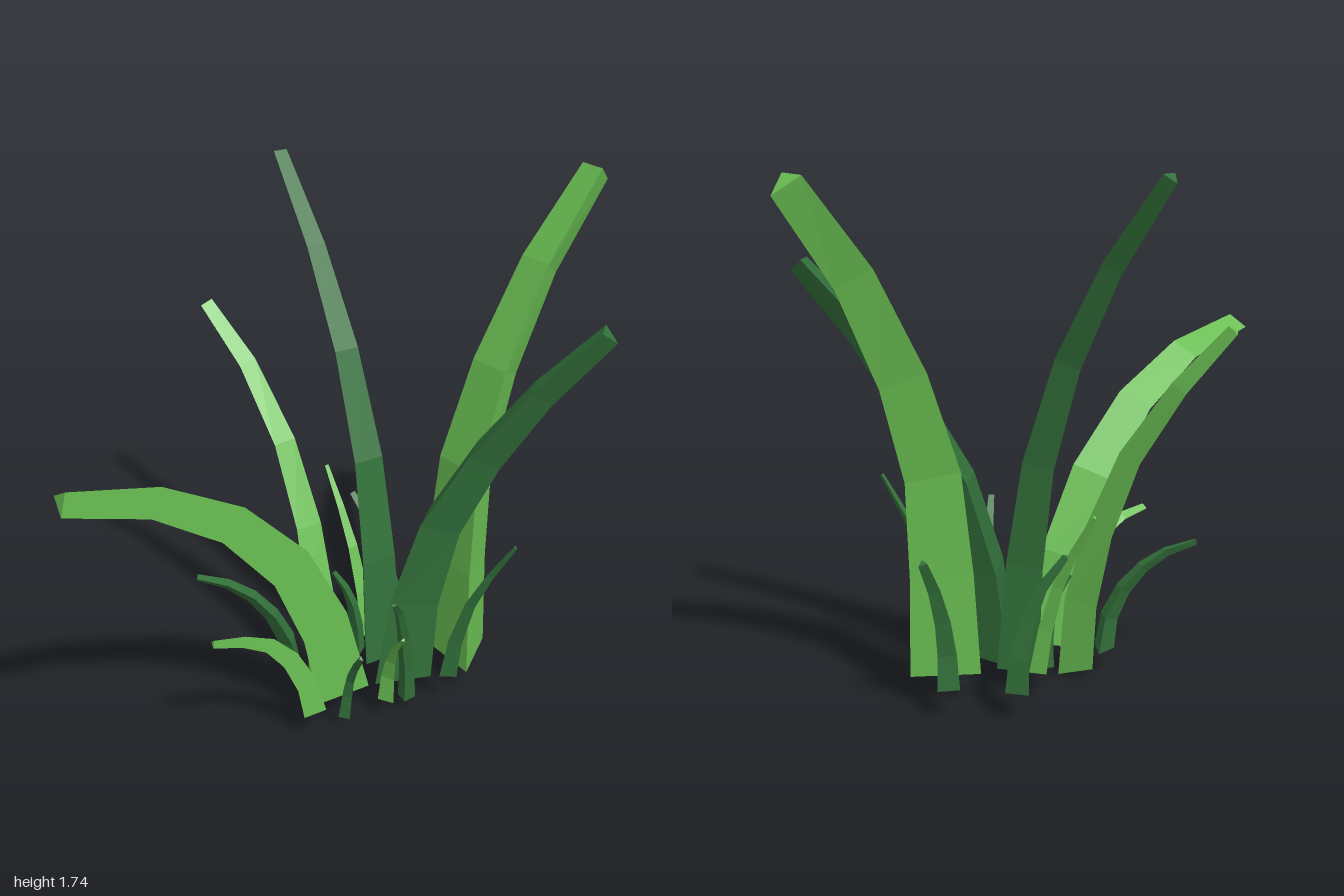
import * as THREE from 'three';

const LIGHT = 0x69bd52, DARK = 0x32703a;

// A tapered three-sided blade. The path runs along the middle of its broad face,
// which looks towards `face`; the ridge lies behind it. Sizes are [base, tip].
function blade(name, color, path, face, width, depth, baseDir = [0, 1, 0]) {
  const pts = path.map(p => new THREE.Vector3(...p));
  const last = pts.length - 1;
  const pos = [], index = [];
  pts.forEach((p, i) => {
    const t = i === 0 ? new THREE.Vector3(...baseDir)
      : pts[Math.min(i + 1, last)].clone().sub(pts[i - 1]);
    t.normalize();
    const n = new THREE.Vector3(...face);
    n.addScaledVector(t, -n.dot(t)).normalize();
    const s = t.clone().cross(n);
    const w = THREE.MathUtils.lerp(width[0], width[1], i / last) / 2;
    const d = THREE.MathUtils.lerp(depth[0], depth[1], i / last);
    for (const v of [
      p.clone().addScaledVector(s, -w),
      p.clone().addScaledVector(s, w),
      p.clone().addScaledVector(n, -d),
    ]) pos.push(v.x, v.y, v.z);
    if (i === last) return;
    for (let j = 0; j < 3; j++) {
      const a = i * 3 + j, b = i * 3 + (j + 1) % 3;
      index.push(a, b, b + 3, a, b + 3, a + 3);
    }
  });
  // end caps
  const e = last * 3;
  index.push(0, 2, 1, e, e + 1, e + 2);

  const indexed = new THREE.BufferGeometry();
  indexed.setAttribute('position', new THREE.Float32BufferAttribute(pos, 3));
  indexed.setIndex(index);
  const geo = indexed.toNonIndexed();
  geo.computeVertexNormals();
  const mesh = new THREE.Mesh(geo, new THREE.MeshStandardMaterial({ color, flatShading: true }));
  mesh.name = name;
  return mesh;
}

export function createModel() {
  const g = new THREE.Group();
  g.name = 'grassTuft';

  // Large blades
  g.add(
    blade('archedRightBlade', LIGHT,
      [[-0.07, 0.08, 0.16], [-0.14, 0.37, 0.155], [-0.265, 0.63, 0.15], [-0.465, 0.845, 0.147], [-0.715, 0.99, 0.14], [-1, 1.06, 0.13]],
      [0, 0, 1], [0.2, 0.08], [0.17, 0.07]),
    blade('broadLeftBlade', LIGHT,
      [[0.34, 0.1, 0.16], [0.365, 0.45, 0.14], [0.41, 0.8, 0.122], [0.53, 1.13, 0.11], [0.71, 1.46, 0.1], [0.93, 1.74, 0.098]],
      [-1, 0, 0], [0.28, 0.095], [0.18, 0.09]),
    blade('tallBackBlade', DARK,
      [[0.17, 0.08, 0.05], [0.17, 0.46, 0.01], [0.17, 0.81, -0.06], [0.172, 1.16, -0.2], [0.174, 1.47, -0.39], [0.175, 1.74, -0.615]],
      [0, 0, 1], [0.15, 0.05], [0.12, 0.04]),
    blade('leaningFrontBlade', DARK,
      [[0.13, 0.08, 0.1], [0.16, 0.4, 0.13], [0.22, 0.7, 0.2], [0.32, 0.96, 0.31], [0.43, 1.2, 0.45], [0.56, 1.415, 0.605]],
      [-0.65, 0, -0.76], [0.2, 0.08], [0.17, 0.06]),
    blade('slenderBackBlade', LIGHT,
      [[-0.05, 0.036, 0.01], [-0.025, 0.3, -0.05], [-0.012, 0.57, -0.15], [-0.025, 0.84, -0.28], [-0.065, 1.08, -0.45], [-0.135, 1.265, -0.6]],
      [0, 0, 1], [0.13, 0.045], [0.11, 0.03], [0.55, 0.83, 0]),
  );

  // Small blades around the base
  g.add(
    blade('smallCurledBlade', LIGHT,
      [[-0.21, 0.08, 0.2], [-0.235, 0.2, 0.19], [-0.29, 0.31, 0.18], [-0.36, 0.385, 0.17], [-0.45, 0.425, 0.16], [-0.55, 0.443, 0.145]],
      [0, 0, 1], [0.085, 0.028], [0.06, 0.02]),
    blade('smallBackRightBlade', DARK,
      [[-0.11, 0.08, -0.06], [-0.13, 0.2, -0.07], [-0.175, 0.3, -0.1], [-0.235, 0.375, -0.14], [-0.31, 0.425, -0.185], [-0.4, 0.45, -0.24]],
      [0.8, 0, 0.55], [0.09, 0.025], [0.06, 0.02]),
    blade('smallFrontRightBlade', DARK,
      [[-0.1, 0.04, 0.21], [-0.095, 0.13, 0.22], [-0.097, 0.2, 0.24], [-0.105, 0.27, 0.28], [-0.12, 0.345, 0.34]],
      [1, 0, 0], [0.06, 0.02], [0.025, 0.01]),
    blade('smallFrontBlade', LIGHT,
      [[0.05, 0.07, 0.23], [0.05, 0.17, 0.24], [0.04, 0.25, 0.27], [0.02, 0.33, 0.32], [-0.005, 0.41, 0.4]],
      [0, 0, -1], [0.06, 0.015], [0.05, 0.01]),
    blade('smallCrossingBlade', DARK,
      [[0.14, 0.04, 0.23], [0.122, 0.18, 0.25], [0.085, 0.32, 0.28], [0.03, 0.46, 0.33], [-0.035, 0.545, 0.39]],
      [0.7, 0, -0.7], [0.06, 0.02], [0.04, 0.01]),
    blade('smallFrontLeftBlade', DARK,
      [[0.265, 0.11, 0.27], [0.275, 0.26, 0.295], [0.295, 0.42, 0.345], [0.325, 0.55, 0.41], [0.36, 0.68, 0.49]],
      [-0.4, 0, -0.9], [0.06, 0.015], [0.05, 0.012]),
    blade('smallLeftBlade', DARK,
      [[0.47, 0.1, 0.01], [0.475, 0.22, 0.01], [0.5, 0.34, 0], [0.545, 0.46, -0.015], [0.605, 0.565, -0.035]],
      [-1, 0, 0], [0.08, 0.025], [0.06, 0.025]),
    blade('smallBackLeftBlade', DARK,
      [[0.34, 0.1, -0.145], [0.338, 0.22, -0.155], [0.32, 0.35, -0.18], [0.295, 0.46, -0.22], [0.255, 0.565, -0.285]],
      [0, 0, 1], [0.085, 0.02], [0.065, 0.02]),
    blade('smallTallBackBlade', LIGHT,
      [[0.19, 0.1, -0.08], [0.187, 0.26, -0.115], [0.182, 0.42, -0.17], [0.177, 0.55, -0.24], [0.172, 0.68, -0.325]],
      [0, 0, 1], [0.06, 0.015], [0.05, 0.015]),
    blade('smallInnerBackBlade', DARK,
      [[0.13, 0.08, -0.03], [0.125, 0.18, -0.035], [0.11, 0.27, -0.045], [0.085, 0.34, -0.06], [0.05, 0.4, -0.085]],
      [0.6, 0, 0.8], [0.06, 0.02], [0.05, 0.015]),
  );
  return g;
}
